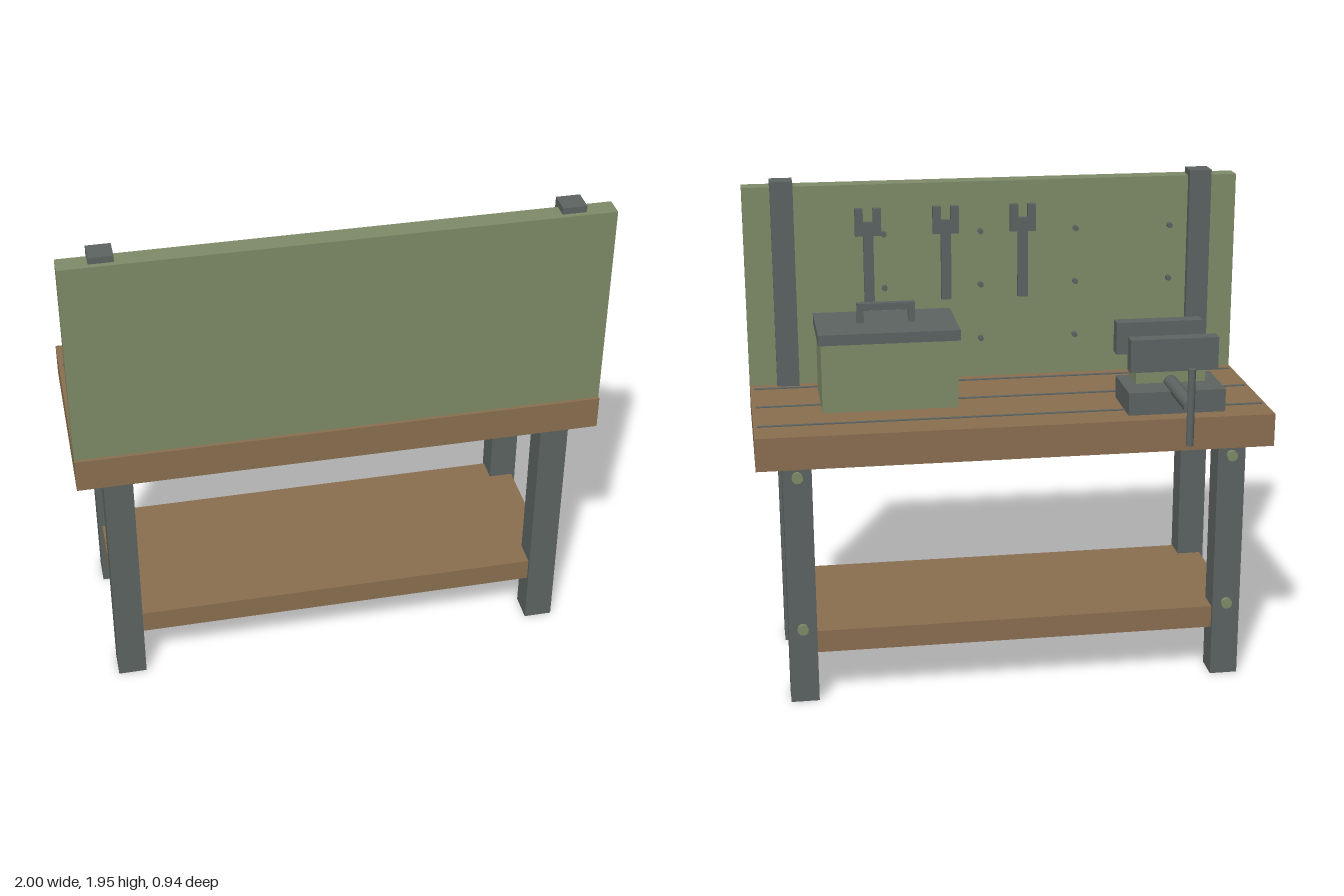
import * as THREE from 'three';

export function createModel() {
  const group = new THREE.Group();
  const mat = (name, color) => {
    const m = new THREE.MeshStandardMaterial({ color });
    m.name = name;
    return m;
  };
  const wood = mat('wood', 0x8a6f50);
  const green = mat('green paint', 0x7e8b68);
  const steel = mat('steel', 0x5c6462);

  const add = (name, geometry, material, x, y, z) => {
    const mesh = new THREE.Mesh(geometry, material);
    mesh.name = name;
    mesh.position.set(x, y, z);
    group.add(mesh);
    return mesh;
  };
  // Box given by its extents along each axis
  const box = (name, material, [x0, x1], [y0, y1], [z0, z1]) =>
    add(name, new THREE.BoxGeometry(x1 - x0, y1 - y0, z1 - z0), material,
      (x0 + x1) / 2, (y0 + y1) / 2, (z0 + z1) / 2);
  // Cylinder lying along z
  const rodZ = (name, material, r, x, y, [z0, z1], sides = 16) =>
    add(name, new THREE.CylinderGeometry(r, r, z1 - z0, sides).rotateX(Math.PI / 2),
      material, x, y, (z0 + z1) / 2);

  // Bench
  box('tabletop', wood, [-1, 1], [0.98, 1.11], [-0.31, 0.467]);
  box('lowerShelf', wood, [-0.885, 0.885], [0.2, 0.29], [-0.25, 0.415]);
  for (const z of [-0.17, 0.075, 0.32])
    box('tabletopStrip', steel, [-0.985, 0.985], [1.106, 1.114], [z - 0.006, z + 0.006]);

  // Legs, board posts and leg bolts on both sides
  for (const s of [-1, 1]) {
    const cx = s * 0.845;
    const wide = (w) => [cx - w / 2, cx + w / 2];
    box('frontLeg', steel, wide(0.11), [0, 0.98], [0.318, 0.428]);
    box('backLeg', steel, wide(0.11), [0, 0.98], [-0.265, -0.155]);
    box('boardPost', steel, wide(0.09), [0.95, 1.945], [0.348, 0.434]);
    for (const y of [0.31, 0.935])
      rodZ('legBolt', green, 0.022, cx, y, [-0.28, -0.26], 12);
  }

  // Tool board with pegs
  box('toolBoard', green, [-1, 1], [1.1, 1.92], [0.377, 0.454]);
  for (const x of [-0.725, -0.335, 0.055, 0.445])
    for (const y of [1.275, 1.5, 1.72])
      rodZ('peg', steel, 0.011, x, y, [0.352, 0.38], 10);

  // Hanging forked tools
  for (const x of [-0.115, 0.197, 0.508]) {
    box('toolShaft', steel, [x - 0.02, x + 0.02], [1.45, 1.775], [0.337, 0.36]);
    for (const s of [-1, 1]) {
      const px = x + s * 0.036;
      box('toolProng', steel, [px - 0.016, px + 0.016], [1.72, 1.83], [0.335, 0.361]);
    }
  }

  // Toolbox
  box('toolboxBody', green, [0.2, 0.73], [1.11, 1.385], [-0.035, 0.287]);
  box('toolboxLid', steel, [0.19, 0.74], [1.383, 1.425], [-0.048, 0.297]);
  box('toolboxHandleBar', steel, [0.35, 0.577], [1.475, 1.503], [0.108, 0.138]);
  for (const x of [0.363, 0.564])
    box('toolboxHandlePost', steel, [x - 0.013, x + 0.013], [1.42, 1.503], [0.108, 0.138]);

  // Vise
  box('viseBase', steel, [-0.817, -0.434], [1.11, 1.2], [-0.245, 0.002]);
  box('viseBody', green, [-0.765, -0.487], [1.2, 1.35], [-0.125, -0.0 + 0.01]);
  box('viseBackJaw', steel, [-0.8, -0.452], [1.262, 1.392], [-0.183, -0.125]);
  box('viseFrontJaw', steel, [-0.8, -0.452], [1.262, 1.392], [0.079, 0.138]);
  rodZ('viseScrew', steel, 0.028, -0.625, 1.203, [-0.455, -0.1]);
  add('viseHandle', new THREE.CylinderGeometry(0.015, 0.015, 0.3, 12), steel, -0.625, 1.2, -0.453);

  return group;
}
